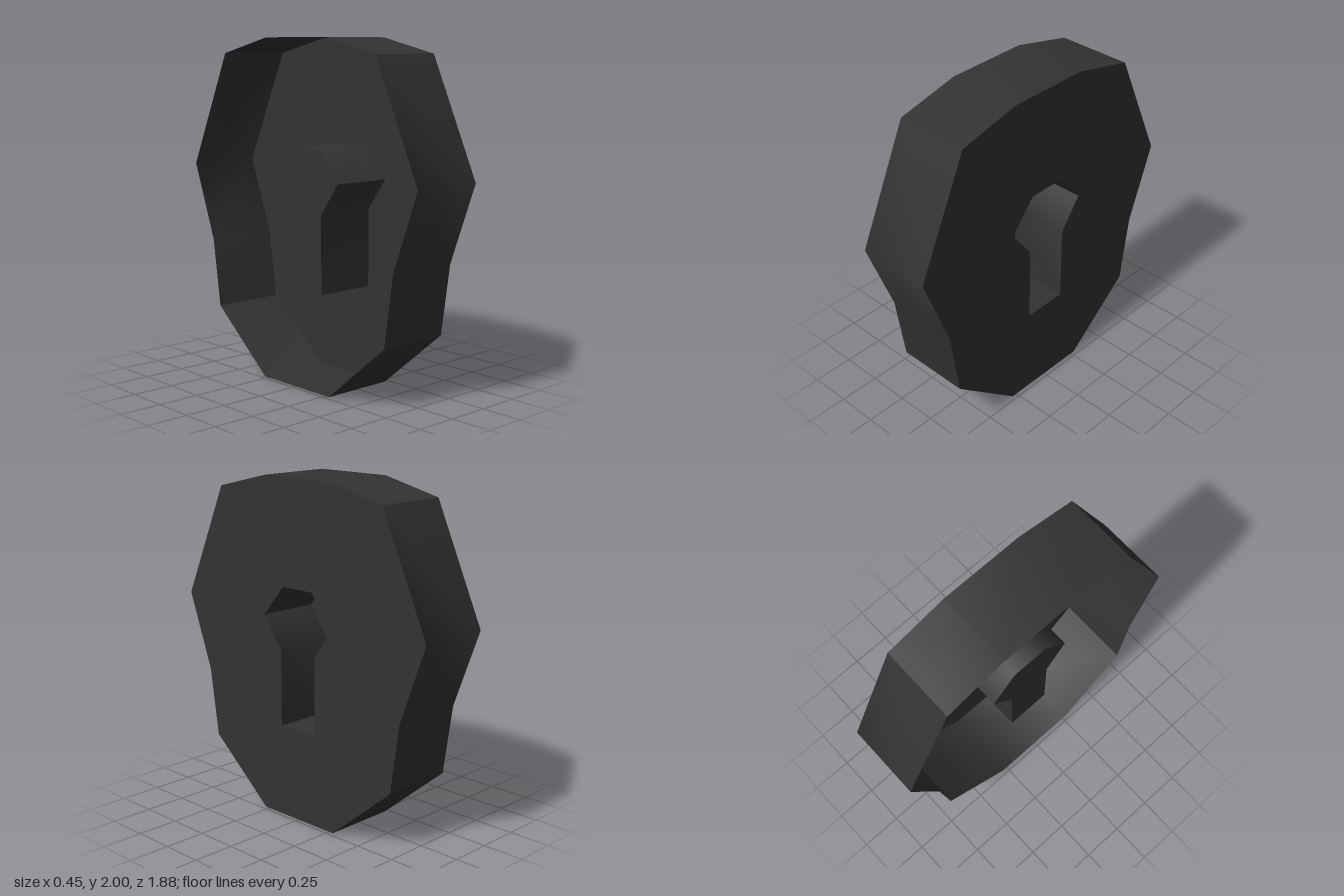
import * as THREE from 'three';

const OPEN_X = -0.225;  // open rim side
const FACE_X = 0.225;   // closed face side
const RECESS_X = -0.15; // floor of the keyhole recess

// Profiles are [z, y] points
const mirror = (pts) => pts.map(([z, y]) => [-z, y]).reverse();

const rimSide = [[0.71, 0.36], [0.77, 0.77], [0.94, 1.23], [0.63, 1.91]];
const rimTop = [[0.63, 1.91], [0.25, 2], [-0.25, 2], [-0.63, 1.91]];
const rimBottom = [[-0.71, 0.36], [-0.28, 0], [0.28, 0], [0.71, 0.36]];
const rimRuns = [rimSide, rimTop, mirror(rimSide), rimBottom];

const keySide = [[0.135, 0.55], [0.135, 1.01], [0.27, 1.195]];
const keyTop = [[0.27, 1.195], [0.115, 1.38], [-0.115, 1.38], [-0.27, 1.195]];
const keyBottom = [[-0.135, 0.55], [0.135, 0.55]];
const keyRuns = [keySide, keyTop, mirror(keySide), keyBottom];

// Join the runs into one closed outline; z is flipped for the later turn to face +x
const outline = (runs) =>
  runs.flatMap((run) => run.slice(0, -1)).map(([z, y]) => new THREE.Vector2(-z, y));

// Wall swept along x, smooth within one run
function wall(run, x0, x1) {
  const pos = [], index = [];
  run.forEach(([z, y], i) => {
    pos.push(x0, y, z, x1, y, z);
    if (i > 0) {
      const a = 2 * (i - 1);
      index.push(a, a + 1, a + 2, a + 1, a + 3, a + 2);
    }
  });
  const geo = new THREE.BufferGeometry();
  geo.setAttribute('position', new THREE.Float32BufferAttribute(pos, 3));
  geo.setIndex(index);
  geo.computeVertexNormals();
  return geo;
}

// Flat plate facing +x
function plate(shape, x) {
  return new THREE.ShapeGeometry(shape).rotateY(Math.PI / 2).translate(x, 0, 0);
}

export function createModel() {
  const group = new THREE.Group();
  group.name = 'keyholeCap';
  const dark = new THREE.MeshStandardMaterial({ color: 0x333333, side: THREE.DoubleSide });
  dark.name = 'dark grey';

  const add = (name, geo) => {
    const mesh = new THREE.Mesh(geo, dark);
    mesh.name = name;
    group.add(mesh);
  };

  // Outer rim, wound so its front points outward
  const rimNames = ['rimFront', 'rimTop', 'rimBack', 'rimBottom'];
  rimRuns.forEach((run, i) => add(rimNames[i], wall(run, OPEN_X, FACE_X)));

  // Face plate with the keyhole cut out
  const face = new THREE.Shape(outline(rimRuns));
  face.holes.push(new THREE.Path(outline(keyRuns)));
  add('facePlate', plate(face, FACE_X));

  // Keyhole recess, wound so its front points into the hole
  const keyNames = ['keyholeFront', 'keyholeTop', 'keyholeBack', 'keyholeBottom'];
  keyRuns.forEach((run, i) => add(keyNames[i], wall(run, FACE_X, RECESS_X)));
  add('keyholeFloor', plate(new THREE.Shape(outline(keyRuns)), RECESS_X));

  return group;
}
